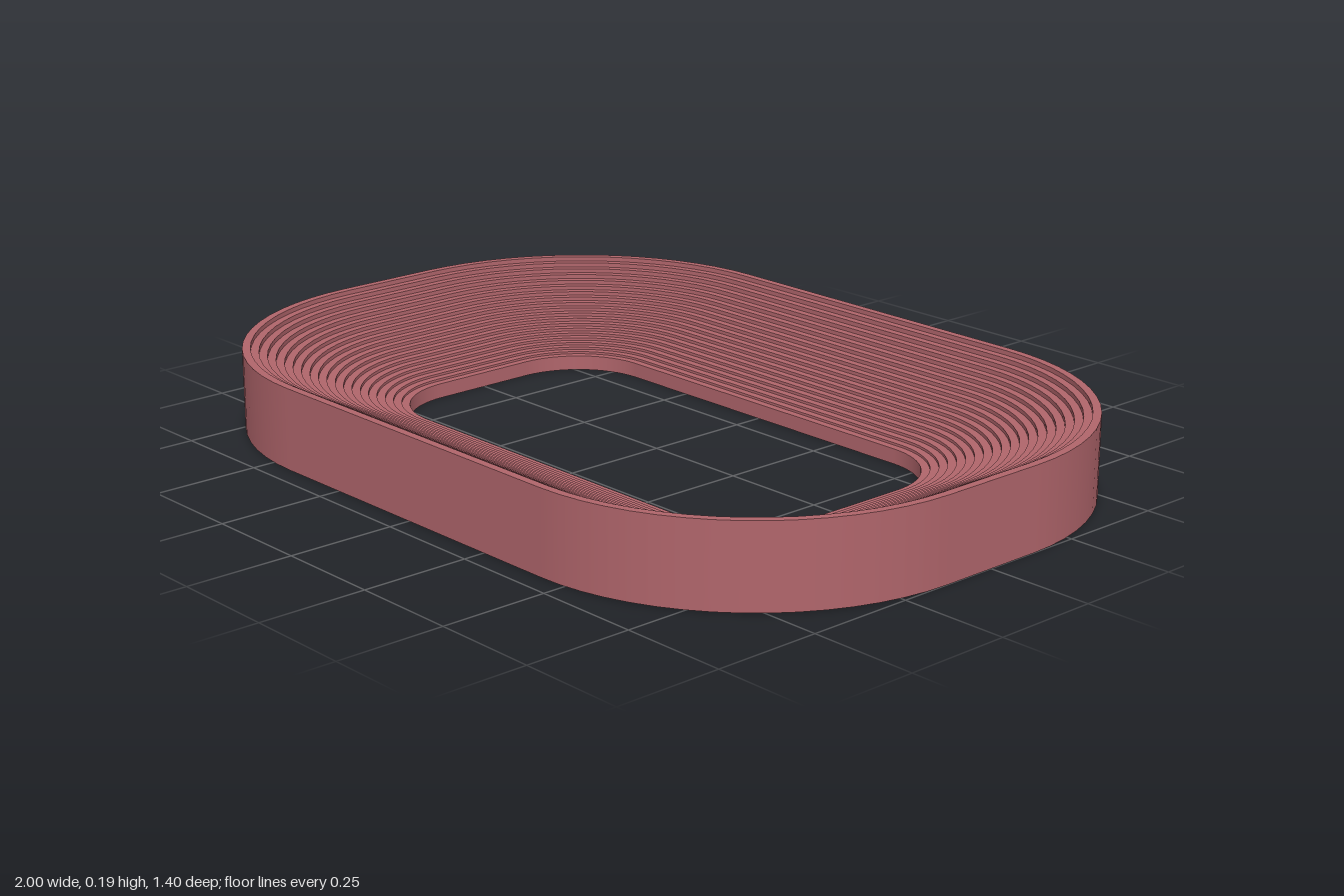
import * as THREE from 'three';

const CORNER_X = 0.43, CORNER_Z = 0.13; // centres of the rounded corners
const INNER_R = 0.19, OUTER_R = 0.57;
const HEIGHT = 0.19, KERB = 0.035, ROWS = 20, ARC_STEPS = 16;

// Directions around the rounded rectangle, with the corner each belongs to
function makePath() {
  const path = [];
  const corners = [[1, 1], [-1, 1], [-1, -1], [1, -1]];
  corners.forEach(([sx, sz], k) => {
    for (let i = 0; i <= ARC_STEPS; i++) {
      const a = (k + i / ARC_STEPS) * Math.PI / 2;
      path.push({ x: sx * CORNER_X, z: sz * CORNER_Z, c: Math.cos(a), s: Math.sin(a) });
    }
  });
  path.push(path[0]);
  return path;
}

// Sweep a profile of [radius, height] points round the path, with crisp profile edges
function sweep(profile, path) {
  const positions = [], normals = [], index = [];
  for (let j = 0; j < profile.length - 1; j++) {
    const [r0, y0] = profile[j], [r1, y1] = profile[j + 1];
    const len = Math.hypot(r1 - r0, y1 - y0);
    const nr = -(y1 - y0) / len, ny = (r1 - r0) / len;
    const start = positions.length / 3;
    path.forEach((p, i) => {
      for (const [r, y] of [[r0, y0], [r1, y1]]) {
        positions.push(p.x + r * p.c, y, p.z + r * p.s);
        normals.push(nr * p.c, ny, nr * p.s);
      }
      if (i > 0) {
        const b = start + 2 * i;
        index.push(b - 2, b, b - 1, b, b + 1, b - 1);
      }
    });
  }
  const geometry = new THREE.BufferGeometry();
  geometry.setAttribute('position', new THREE.Float32BufferAttribute(positions, 3));
  geometry.setAttribute('normal', new THREE.Float32BufferAttribute(normals, 3));
  geometry.setIndex(index);
  return geometry;
}

export function createModel() {
  const group = new THREE.Group();
  group.name = 'stadiumStands';
  const clay = new THREE.MeshStandardMaterial({ color: 0xb0656b });
  clay.name = 'dustyRed';
  const path = makePath();

  const add = (name, profile) => {
    const mesh = new THREE.Mesh(sweep(profile, path), clay);
    mesh.name = name;
    group.add(mesh);
  };

  // Stepped rows whose risers grow towards the rim
  const steps = [];
  for (let i = 0; i < ROWS; i++) {
    const t = i / (ROWS - 1);
    const y = KERB + (HEIGHT - KERB) * (0.65 * t + 0.35 * t * t);
    const tread = (OUTER_R - INNER_R) / ROWS;
    steps.push([INNER_R + i * tread, y], [INNER_R + (i + 1) * tread, y]);
  }

  add('seatingRows', steps);
  add('innerKerb', [[INNER_R, 0], [INNER_R, KERB]]);
  add('outerWall', [[OUTER_R, HEIGHT], [OUTER_R, 0]]);
  add('underside', [[OUTER_R, 0], [INNER_R, 0]]);
  return group;
}
